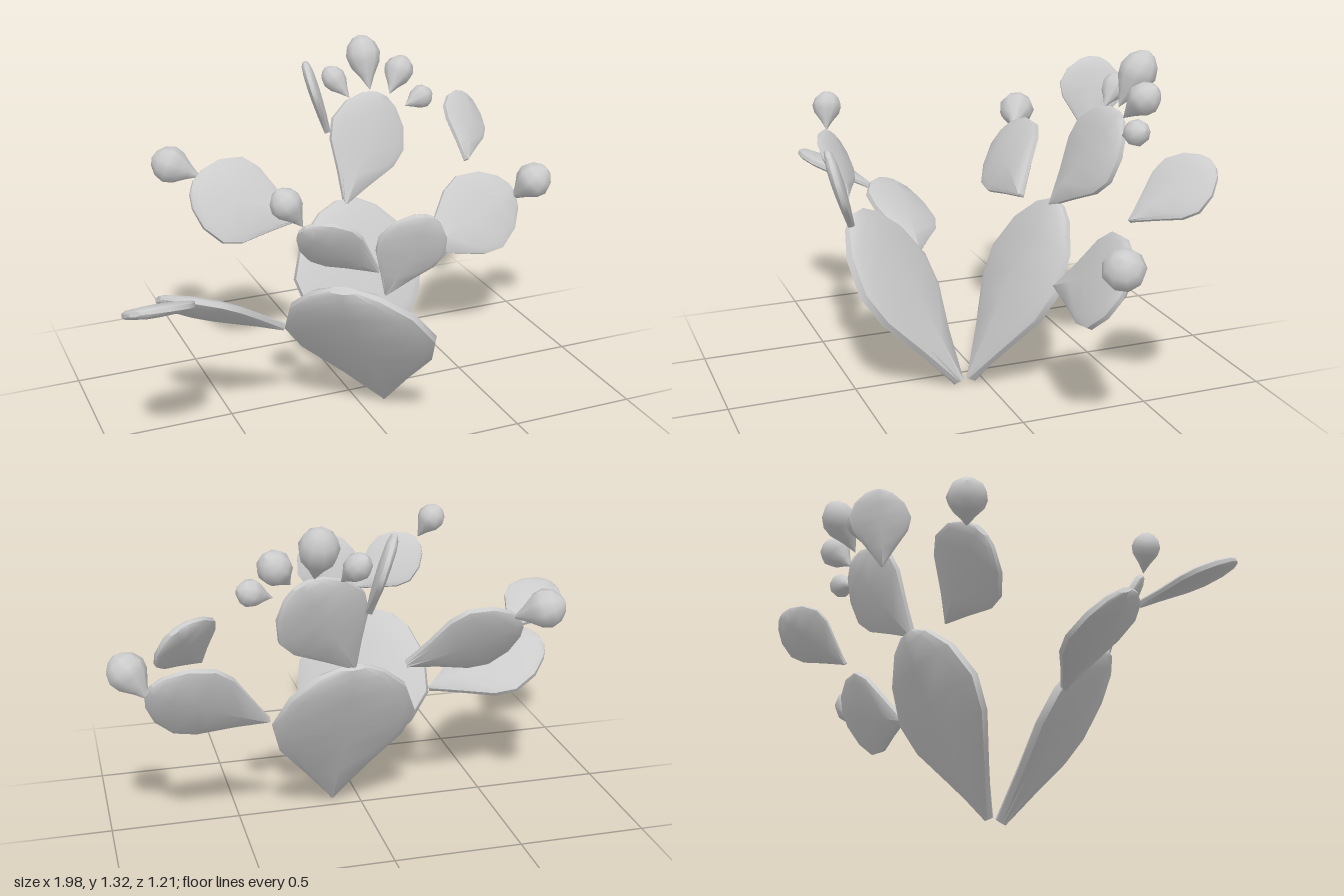
import * as THREE from 'three';
import { toCreasedNormals } from 'three/addons/utils/BufferGeometryUtils.js';

// Pad rings from base to tip: [height, half width, half thickness], all relative
const RINGS = [
  [0, 0.03, 0.55], [0.24, 0.46, 0.8], [0.46, 0.88, 0.95], [0.63, 1, 1],
  [0.82, 0.8, 0.95], [0.95, 0.45, 0.75], [1, 0.17, 0.4],
];
// Flattened pad cross-section: [across, through], counter-clockwise
const SECTION = [
  [1, 0.35], [0.82, 0.72], [0, 1], [-0.82, 0.72], [-1, 0.35],
  [-1, -0.35], [-0.82, -0.72], [0, -1], [0.82, -0.72], [1, -0.35],
];

// Teardrop pad standing on the origin, one unit long
function padGeometry(width, thickness) {
  const pos = [], index = [], n = SECTION.length, top = RINGS.length - 1;
  for (const [y, w, t] of RINGS) {
    for (const [x, z] of SECTION) pos.push(x * w * width / 2, y, z * t * thickness / 2);
  }
  const low = pos.length / 3;
  pos.push(0, 0, 0, 0, 1, 0);
  for (let j = 0; j < n; j++) {
    const k = (j + 1) % n;
    for (let i = 0; i < top; i++) {
      const a = i * n + j, b = i * n + k;
      index.push(a, a + n, b, b, a + n, b + n);
    }
    index.push(low, j, k, low + 1, top * n + k, top * n + j);
  }
  const g = new THREE.BufferGeometry();
  g.setAttribute('position', new THREE.Float32BufferAttribute(pos, 3));
  g.setIndex(index);
  return toCreasedNormals(g, 0.75);
}

// Round bud with a pointed base, one unit long
function budGeometry(width) {
  const profile = [[0, 0], [0.25, 0.42], [0.46, 0.86], [0.64, 1], [0.82, 0.82], [0.95, 0.42], [1, 0]];
  return new THREE.LatheGeometry(
    profile.map(([y, r]) => new THREE.Vector2(r * width / 2, y)), 9);
}

// Pads: name, base, tip, direction across the face, width
const PADS = [
  ['backMainPad', [0.11, 0.02, 0.06], [0.11, 0.71, -0.30], [1, 0, -0.05], 0.56],
  ['frontMainPad', [0.11, 0.015, 0.11], [-0.2, 0.66, 0.42], [0.5, -0.15, 0.27], 0.59],
  ['rightLowerPad', [-0.32, 0.41, 0.13], [-0.79, 0.59, 0.09], [0, 0.17, 0.3], 0.35],
  ['rightOuterPad', [-0.69, 0.61, 0.22], [-0.96, 0.72, 0.45], [0.69, 0.29, 0.66], 0.25],
  ['frontUpperPad', [-0.06, 0.65, 0.48], [0.05, 0.97, 0.59], [1, -0.35, 0.1], 0.26],
  ['frontSidePad', [-0.09, 0.75, 0.49], [-0.37, 0.94, 0.47], [0.1, 0.15, 0.155], 0.24],
  ['backRightPad', [-0.11, 0.68, -0.24], [-0.53, 0.84, -0.33], [0.1, 0.31, -0.2], 0.36],
  ['backLeftPad', [0.4, 0.48, -0.17], [0.85, 0.67, -0.24], [-0.13, 0.31, -0.17], 0.36],
  ['backLeftUpperPad', [0.67, 0.8, -0.32], [0.78, 1.01, -0.58], [0.2, -0.1, -0.05], 0.25],
  ['backTopPad', [0.1, 0.7, -0.28], [0.33, 1.09, -0.45], [1, -0.5, 0.05], 0.35],
  ['backTopSidePad', [0.085, 0.96, -0.43], [0.01, 1.25, -0.49], [0.08, -0.03, -0.22], 0.245],
];

// Buds: base, tip, width
const BUDS = [
  [[-0.37, 0.955, 0.485], [-0.455, 1.09, 0.455], 0.115],
  [[-0.48, 0.87, -0.36], [-0.65, 0.945, -0.45], 0.15],
  [[0.845, 0.63, -0.23], [0.96, 0.78, -0.145], 0.155],
  [[0.19, 1.09, -0.45], [0.12, 1.2, -0.55], 0.1],
  [[0.285, 1.11, -0.46], [0.285, 1.315, -0.58], 0.145],
  [[0.365, 1.09, -0.44], [0.465, 1.22, -0.52], 0.125],
  [[0.42, 1.04, -0.41], [0.55, 1.085, -0.435], 0.1],
];

export function createModel() {
  const model = new THREE.Group();
  model.name = 'cactus';
  const material = new THREE.MeshStandardMaterial({ color: 0xcccccc });

  // Stretches a unit part from base to tip, its x axis turned towards side
  const place = (name, geometry, base, tip, side) => {
    const up = new THREE.Vector3(...tip).sub(new THREE.Vector3(...base));
    const length = up.length();
    up.normalize();
    const x = new THREE.Vector3(...side);
    x.addScaledVector(up, -x.dot(up)).normalize();
    const mesh = new THREE.Mesh(geometry, material);
    mesh.name = name;
    mesh.position.set(...base);
    mesh.quaternion.setFromRotationMatrix(
      new THREE.Matrix4().makeBasis(x, up, x.clone().cross(up)));
    mesh.scale.y = length;
    model.add(mesh);
  };

  for (const [name, base, tip, side, width] of PADS) {
    place(name, padGeometry(width, 0.02 + width * 0.11), base, tip, side);
  }
  BUDS.forEach(([base, tip, width], i) => {
    place('bud' + (i + 1), budGeometry(width), base, tip, [1, 0.1, 0.3]);
  });
  return model;
}
